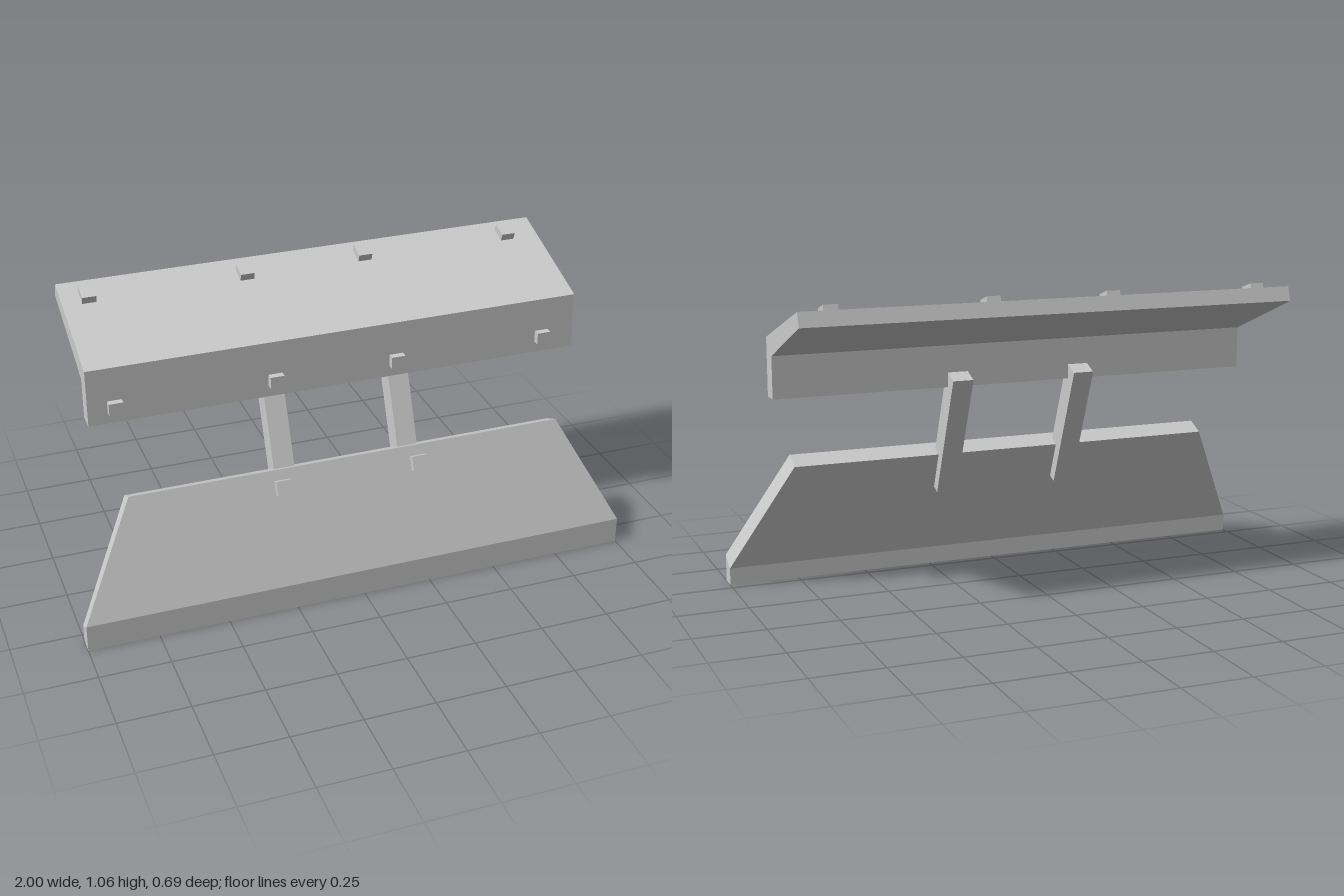
import * as THREE from 'three';

const material = new THREE.MeshStandardMaterial({ color: 0xcccccc, flatShading: true });

// Folded slab: each row is [half width, front z, front y, back z, back y], from bottom to tip.
function foldedPanel(rows) {
  const loops = rows.map(([w, zf, yf, zb, yb]) => [[-w, yf, zf], [w, yf, zf], [w, yb, zb], [-w, yb, zb]]);
  const positions = [];
  const quad = (a, b, c, d) => positions.push(...a, ...b, ...c, ...a, ...c, ...d);
  for (let i = 0; i < loops.length - 1; i++) {
    for (let k = 0; k < 4; k++) {
      const n = (k + 1) % 4;
      quad(loops[i][k], loops[i][n], loops[i + 1][n], loops[i + 1][k]);
    }
  }
  const [p, q, r, s] = loops[0];
  quad(s, r, q, p);
  quad(...loops[loops.length - 1]);
  const geometry = new THREE.BufferGeometry();
  geometry.setAttribute('position', new THREE.Float32BufferAttribute(positions, 3));
  geometry.computeVertexNormals();
  return geometry;
}

export function createModel() {
  const model = new THREE.Group();
  model.name = 'foldedPanelStand';

  function add(name, geometry, x = 0, y = 0, z = 0, tilt = 0) {
    const mesh = new THREE.Mesh(geometry, material);
    mesh.name = name;
    mesh.position.set(x, y, z);
    mesh.rotation.x = tilt;
    model.add(mesh);
  }

  // Lower panel: upright lip, then a leaning face that narrows towards the top
  add('lowerPanel', foldedPanel([
    [1, 0.346, 0, 0.284, 0],
    [1, 0.346, 0.097, 0.284, 0.062],
    [0.795, 0.192, 0.479, 0.127, 0.448],
  ]));

  // Upper panel: upright front, then a shelf rising to the back
  add('upperPanel', foldedPanel([
    [0.891, 0.087, 0.712, 0.022, 0.712],
    [0.891, 0.087, 0.917, 0.022, 0.86],
    [0.891, -0.327, 1.053, -0.344, 1.003],
  ]));

  // Leaning struts joining the two panels
  const lean = -0.39;
  const strut = new THREE.BoxGeometry(0.075, 0.472, 0.075);
  for (const x of [-0.234, 0.226]) add('strut', strut, x, 0.537, 0.091, lean);

  // Bolts on the lower panel face
  const lowerBolt = new THREE.BoxGeometry(0.054, 0.052, 0.044);
  for (const x of [-0.257, 0.247]) add('lowerBolt', lowerBolt, x, 0.42, 0.216, lean);

  // Bolts on the upper panel: one row on the front, one on the shelf
  const frontBolt = new THREE.BoxGeometry(0.05, 0.043, 0.05);
  const shelfBolt = new THREE.BoxGeometry(0.05, 0.054, 0.061);
  for (const x of [-0.798, -0.236, 0.208, 0.768]) {
    add('frontBolt', frontBolt, x, 0.774, 0.087);
    const z = x < 0 ? -0.246 : -0.256;
    add('shelfBolt', shelfBolt, x, 0.917 + (0.087 - z) * 0.3285, z, 0.317);
  }
  return model;
}
